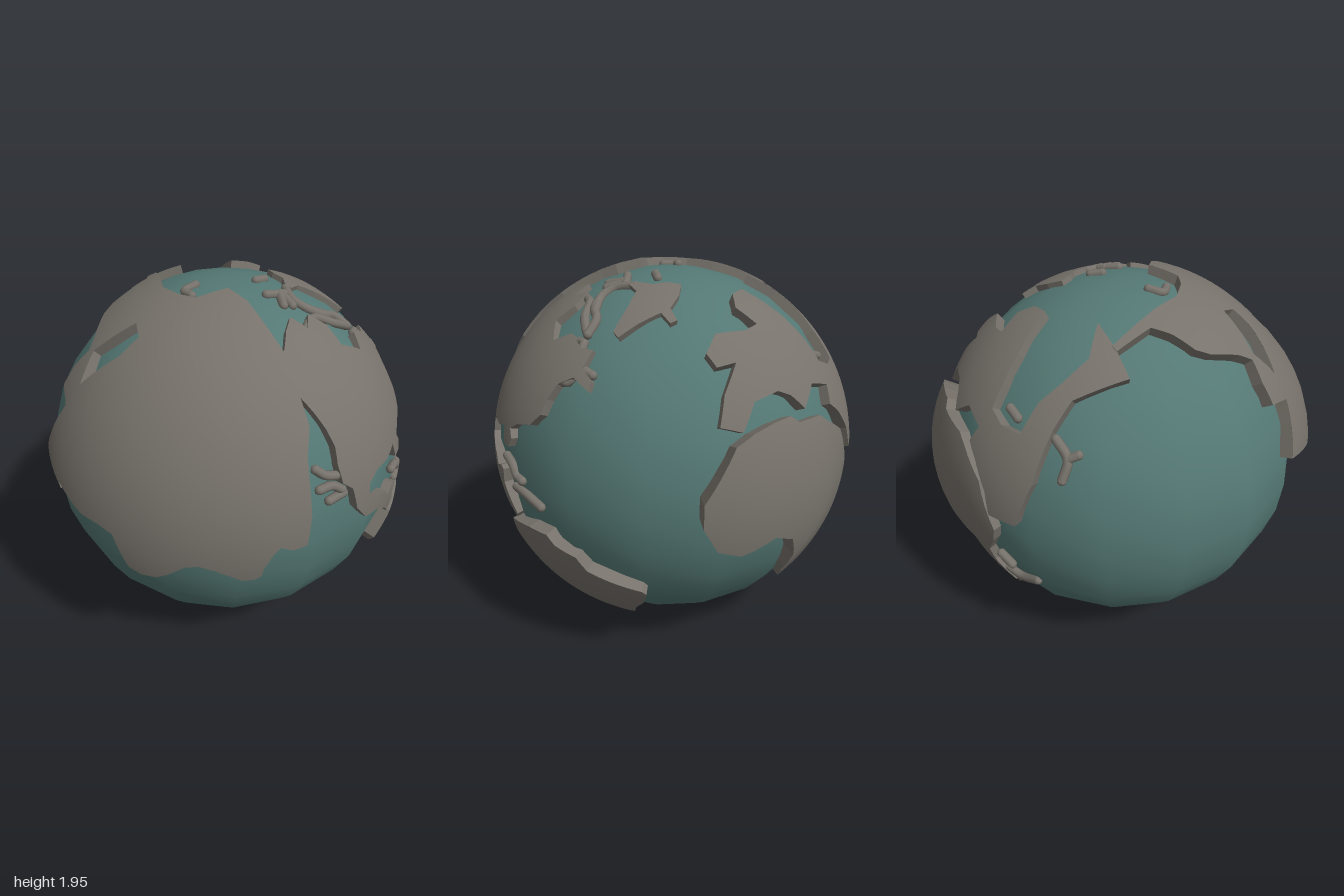
import * as THREE from 'three';

const CY = 0.975; // height of the globe centre

// Lifts flat outline points onto the unit sphere, seen from an azimuth and elevation in degrees
function projector(az, el, toAB) {
  const a = THREE.MathUtils.degToRad(az), e = THREE.MathUtils.degToRad(el);
  const right = new THREE.Vector3(Math.cos(a), 0, -Math.sin(a));
  const up = new THREE.Vector3(-Math.sin(a) * Math.sin(e), Math.cos(e), -Math.cos(a) * Math.sin(e));
  const fwd = new THREE.Vector3(Math.sin(a) * Math.cos(e), Math.sin(e), Math.cos(a) * Math.cos(e));
  return (...pts) => pts.map((p) => {
    const [s, t] = toAB(p);
    return new THREE.Vector3().addScaledVector(right, s).addScaledVector(up, t)
      .addScaledVector(fwd, Math.sqrt(Math.max(0, 0.965 - s * s - t * t))).normalize();
  });
}
const front = projector(0, 0, ([x, y]) => [x, y - CY]);
const side = projector(90, 0, ([z, y]) => [-z, y - CY]);
const top = projector(0, 90, ([x, z]) => [x, -z]);
const under = projector(0, -90, ([x, z]) => [x, z]);
const backLeft = projector(210, 25, (p) => p);
const backRight = projector(150, -30, (p) => p);

// Radius rule for a land that swells towards one direction
function swell(min, peak, slope, x, y, z) {
  const dir = new THREE.Vector3(x, y, z).normalize();
  return (n) => Math.max(min, peak - slope * (1 - n.dot(dir)));
}

// Raised curved plate with walls, from an outline, a radius rule and optional holes
function plate(outline, radius, holes = []) {
  const base = 0.905;
  const c = outline.reduce((s, p) => s.add(p), new THREE.Vector3()).normalize();
  const u = new THREE.Vector3(-c.y, c.x, 0).normalize();
  const v = new THREE.Vector3().crossVectors(c, u);
  const flat = (p) => new THREE.Vector2(p.dot(u), p.dot(v)).divideScalar(1 + p.dot(c));
  const lift = (q) => {
    const k = q.lengthSq();
    return new THREE.Vector3().addScaledVector(u, 2 * q.x).addScaledVector(v, 2 * q.y)
      .addScaledVector(c, 1 - k).divideScalar(1 + k);
  };
  const raise = (n) => n.clone().multiplyScalar(radius(n));
  const contour = outline.map(flat);
  if (THREE.ShapeUtils.isClockWise(contour)) contour.reverse();
  const inner = holes.map((h) => {
    const f = h.map(flat);
    return THREE.ShapeUtils.isClockWise(f) ? f : f.reverse();
  });
  const all = [contour, ...inner].flat();
  const pos = [], nor = [];
  const put = (p, n) => { pos.push(p.x, p.y, p.z); nor.push(n.x, n.y, n.z); };

  // top surface
  const split = (a, b, d, depth) => {
    if (depth === 0) {
      for (const q of [a, b, d]) { const n = lift(q); put(raise(n), n); }
      return;
    }
    const mid = (p, q) => p.clone().add(q).multiplyScalar(0.5);
    const ab = mid(a, b), bd = mid(b, d), da = mid(d, a);
    split(a, ab, da, depth - 1);
    split(ab, b, bd, depth - 1);
    split(da, bd, d, depth - 1);
    split(ab, bd, da, depth - 1);
  };
  for (const [i, j, k] of THREE.ShapeUtils.triangulateShape(contour, inner)) {
    const a = all[i], b = all[j], d = all[k];
    const ccw = (b.x - a.x) * (d.y - a.y) - (b.y - a.y) * (d.x - a.x) > 0;
    split(a, ccw ? b : d, ccw ? d : b, 3);
  }

  // walls
  for (const ring of [contour, ...inner]) {
    ring.forEach((from, i) => {
      const to = ring[(i + 1) % ring.length];
      for (let s = 0; s < 4; s++) {
        const p = lift(from.clone().lerp(to, s / 4)), q = lift(from.clone().lerp(to, (s + 1) / 4));
        const n = new THREE.Vector3().subVectors(q, p).cross(p).normalize();
        const p0 = p.clone().multiplyScalar(base), q0 = q.clone().multiplyScalar(base);
        const p1 = raise(p), q1 = raise(q);
        for (const w of [p0, q0, q1, p0, q1, p1]) put(w, n);
      }
    });
  }
  const g = new THREE.BufferGeometry();
  g.setAttribute('position', new THREE.Float32BufferAttribute(pos, 3));
  g.setAttribute('normal', new THREE.Float32BufferAttribute(nor, 3));
  return g;
}

export function createModel() {
  const model = new THREE.Group();
  model.name = 'globe';
  const globe = new THREE.Group();
  globe.name = 'globeBody';
  globe.position.set(0, CY, -0.005);
  model.add(globe);
  const ocean = new THREE.MeshStandardMaterial({ color: 0x547874 });
  ocean.name = 'oceanTeal';
  const land = new THREE.MeshStandardMaterial({ color: 0x77726b });
  land.name = 'landGrey';
  const add = (name, geometry, material = land, parent = globe) => {
    const m = new THREE.Mesh(geometry, material);
    m.name = name;
    parent.add(m);
    return m;
  };

  add('oceanSphere', new THREE.SphereGeometry(0.953, 16, 16), ocean);

  // large western land, with an inland sea
  add('westernLand', plate([
    ...front([0.01, 1.77], [0.01, 1.53], [-0.03, 1.42], [-0.04, 1.16], [-0.06, 1.01], [-0.13, 1.0], [-0.19, 1.03],
      [-0.22, 1.0], [-0.26, 0.92], [-0.27, 0.87], [-0.3, 0.845], [-0.36, 0.85], [-0.47, 0.93], [-0.53, 0.96],
      [-0.58, 0.95], [-0.64, 0.89], [-0.68, 0.855], [-0.73, 0.85], [-0.77, 0.88], [-0.81, 1.05], [-0.85, 1.07],
      [-0.9, 1.07], [-0.95, 1.13]),
    ...backLeft([0.93, 0], [0.8, -0.03], [0.79, 0.14], [0.77, 0.26], [0.68, 0.25]),
    ...top([-0.77, -0.08], [-0.7, -0.04], [-0.65, -0.1], [-0.56, -0.23], [-0.5, -0.27], [-0.39, -0.28], [-0.3, -0.31],
      [-0.22, -0.48], [-0.19, -0.47], [-0.27, -0.2], [-0.31, -0.05], [-0.28, 0.08], [-0.23, 0.16], [-0.07, 0.17],
      [-0.03, 0.29]),
  ], swell(1.0, 1.045, 0.22, -0.85, 0.1, 0.5), [top([-0.5, 0.09], [-0.52, 0.18], [-0.62, 0.18], [-0.79, 0.07], [-0.69, 0])]));

  // northern continent with its narrow isthmus
  add('northernContinent', plate([
    ...front([0.01, 1.64], [0.06, 1.57], [0.1, 1.5], [0.13, 1.42], [0.13, 1.34], [0.15, 1.25], [0.21, 1.2], [0.24, 1.08],
      [0.31, 0.99], [0.42, 0.97], [0.51, 0.9], [0.58, 0.81], [0.64, 0.76], [0.66, 0.79], [0.63, 0.86], [0.59, 0.93],
      [0.6, 1.01], [0.57, 1.02], [0.51, 0.99], [0.48, 1.04], [0.39, 1.07], [0.33, 1.1], [0.33, 1.17], [0.39, 1.21],
      [0.49, 1.21], [0.56, 1.24], [0.59, 1.16], [0.64, 1.16], [0.65, 1.21], [0.62, 1.25]),
    ...side([0.66, 1.29], [0.57, 1.32], [0.51, 1.38], [0.48, 1.45], [0.43, 1.52], [0.35, 1.56], [0.27, 1.52],
      [0.26, 1.56], [0.31, 1.6], [0.27, 1.67], [0.34, 1.67], [0.4, 1.71]),
    ...top([0.49, 0.5], [0.36, 0.52], [0.33, 0.43], [0.25, 0.38], [0.2, 0.46], [0.14, 0.4], [0.08, 0.47], [0.02, 0.56]),
  ], () => 0.98));

  // southern continent
  add('southernContinent', plate([
    ...side([0.72, 0.76], [0.59, 0.8], [0.48, 0.81], [0.44, 0.76], [0.33, 0.73], [0.28, 0.65], [0.14, 0.6], [0.02, 0.565],
      [0, 0.54], [0.02, 0.46], [0.07, 0.38], [0.1, 0.26], [0.17, 0.22], [0.22, 0.13], [0.29, 0.085]),
    ...front([0.34, 0.1], [0.38, 0.17], [0.49, 0.25], [0.6, 0.33], [0.62, 0.44], [0.57, 0.52], [0.54, 0.61], [0.58, 0.67]),
  ], () => 1.0));

  // eastern continent
  add('easternContinent', plate([
    ...side([-0.45, 1.36], [-0.53, 1.385], [-0.61, 1.395], [-0.65, 1.36], [-0.77, 1.345], [-0.82, 1.3]),
    ...backRight([0.19, 0.665], [0.3, 0.46], [0.275, 0.387], [0.205, 0.29], [0.2, 0.2], [0.245, 0.087], [0.245, 0.017],
      [0.14, -0.087], [0.065, -0.16], [0.03, -0.14]),
    ...side([-0.64, 0.41], [-0.65, 0.57], [-0.67, 0.7], [-0.64, 0.84], [-0.56, 0.89], [-0.42, 0.83], [-0.32, 0.87],
      [-0.26, 0.99], [-0.26, 1.1], [-0.34, 1.24], [-0.38, 1.32]),
  ], swell(0.98, 1.055, 0.4, 0.87, 0.05, -0.49)));

  // land wrapping around the back
  add('backContinent', plate([
    ...top([-0.21, -0.47], [-0.08, -0.39], [-0.12, -0.55], [-0.05, -0.66], [0.03, -0.74], [0.08, -0.83], [0.19, -0.81],
      [0.27, -0.76], [0.25, -0.69], [0.23, -0.58], [0.21, -0.37], [0.29, -0.33], [0.38, -0.35], [0.41, -0.45],
      [0.48, -0.4], [0.56, -0.27], [0.65, -0.24]),
    ...side([-0.29, 1.62], [-0.37, 1.63], [-0.33, 1.52], [-0.32, 1.4], [-0.42, 1.37], [-0.46, 1.48], [-0.56, 1.5],
      [-0.62, 1.47], [-0.69, 1.4], [-0.72, 1.48], [-0.8, 1.44], [-0.82, 1.36], [-0.87, 1.3], [-0.93, 1.18]),
    ...backLeft([-0.665, -0.22], [-0.535, -0.25], [-0.44, -0.04], [-0.34, 0.2], [-0.25, 0.33], [0, 0.416]),
  ], () => 0.995));

  // polar island at the top
  add('polarIsland', plate(top([0.29, -0.09], [0.38, -0.09], [0.47, -0.06], [0.53, -0.1], [0.55, -0.07], [0.5, -0.02],
    [0.56, 0.08], [0.61, 0.16], [0.58, 0.19], [0.45, 0.14], [0.35, 0.12], [0.28, 0.17], [0.27, 0.12], [0.3, 0.05],
    [0.28, -0.02]), () => 0.975));

  // lands at the bottom
  add('bottomLandLarge', plate(under([-0.36, -0.2], [-0.25, -0.36], [-0.1, -0.33], [-0.02, -0.2], [-0.06, 0],
    [-0.22, 0.03]), () => 0.97));
  add('bottomLandSmall', plate(under([0, 0.28], [0.1, 0.2], [0.2, 0], [0.16, -0.04], [0.05, 0.08], [-0.05, 0.2]),
    () => 0.965));

  // thin islands, capes and ridges as rounded strips
  const islands = new THREE.Group();
  islands.name = 'islands';
  globe.add(islands);
  const strips = [
    front([0.59, 1.08], [0.66, 1.06], [0.69, 1.02], [0.73, 1.01]),
    front([0.68, 0.95], [0.74, 0.95], [0.82, 0.92]),
    front([0.02, 1.35], [0.07, 1.31], [0.13, 1.29]),
    front([0.03, 1.25], [0.1, 1.25], [0.16, 1.21]),
    front([0.08, 1.18], [0.17, 1.19]),
    front([0.48, 1.52], [0.53, 1.49], [0.58, 1.5]),
    front([0.5, 1.55], [0.54, 1.55]),
    top([0.12, 0.21], [0.23, 0.2]),
    top([0.2, 0.2], [0.17, 0.3]),
    top([0.21, 0.2], [0.22, 0.3]),
    top([0.14, 0.06], [0.2, 0.04]),
    top([0.2, 0.46], [0.3, 0.37], [0.42, 0.37], [0.52, 0.34]),
    top([0.3, 0.31], [0.38, 0.33], [0.47, 0.3], [0.54, 0.33]),
    top([0.53, 0.45], [0.57, 0.34], [0.63, 0.37], [0.67, 0.42]),
    top([0.27, 0.14], [0.25, 0.25], [0.3, 0.31], [0.4, 0.32]),
    top([-0.22, 0.07], [-0.23, 0], [-0.16, -0.02]),
    top([0.72, 0.27], [0.68, 0.34], [0.7, 0.4], [0.66, 0.45]),
    top([0.14, -0.79], [0.2, -0.76]),
    backLeft([-0.34, 0.17], [-0.29, 0.08], [-0.32, -0.02]),
    backLeft([-0.29, 0.08], [-0.24, 0.1]),
    backRight([0.33, 0.24], [0.38, 0.17]),
    backRight([0.29, 0.09], [0.39, 0.06], [0.51, 0.09]),
    backRight([0.34, 0], [0.39, 0.06]),
  ].map((s, i) => (i > 19 ? s.map((p) => p.add(new THREE.Vector3(0.08, 0.01, 0)).normalize()) : s));
  for (const strip of strips) {
    const pts = strip.map((p) => p.multiplyScalar(0.955));
    add('island', new THREE.TubeGeometry(new THREE.CatmullRomCurve3(pts), 10, 0.023, 8), land, islands);
    for (const end of [pts[0], pts[pts.length - 1]]) {
      add('islandEnd', new THREE.SphereGeometry(0.023, 8, 6), land, islands).position.copy(end);
    }
  }
  return model;
}
